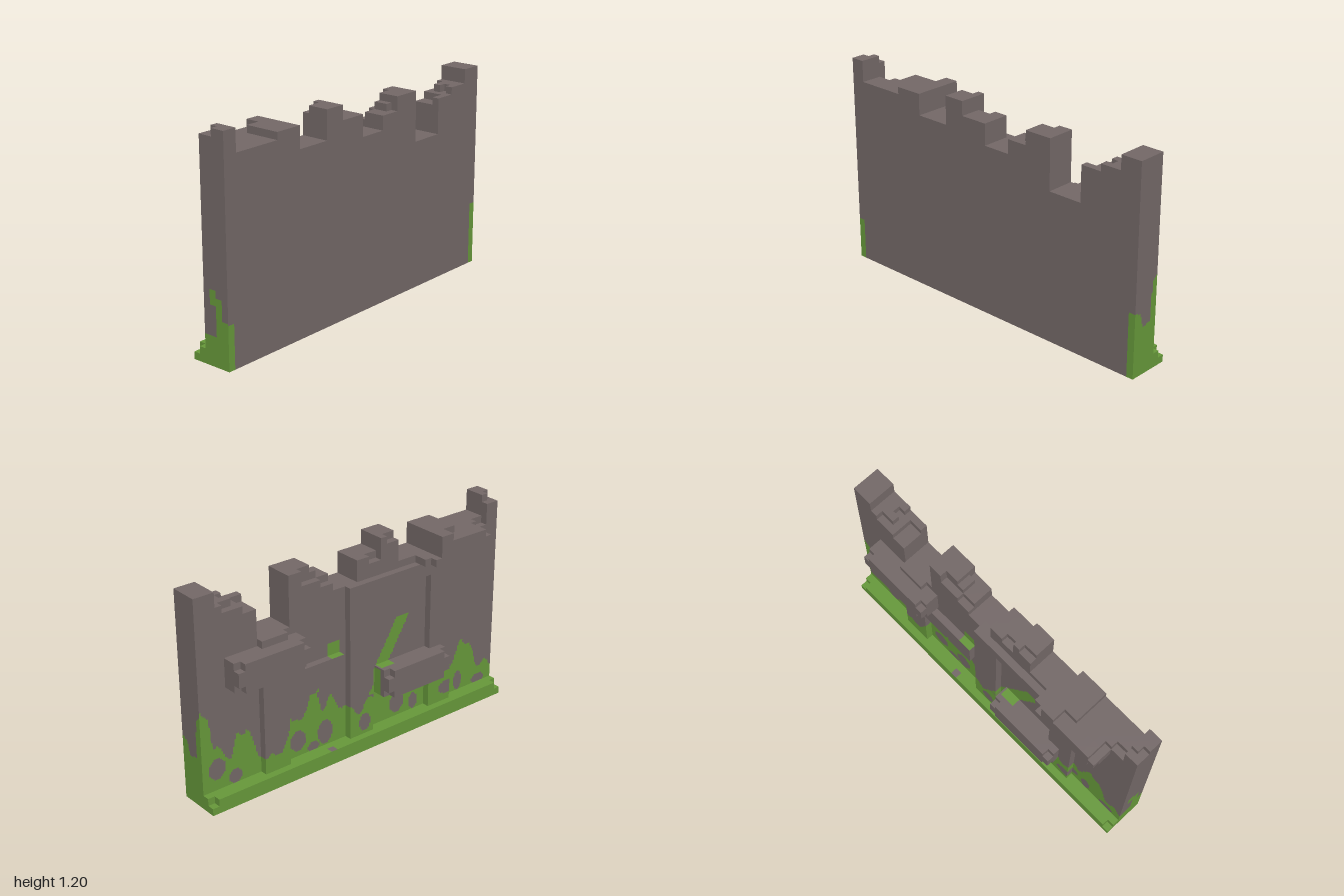
import * as THREE from 'three';

const S = 0.04, NX = 7, NY = 30, NZ = 50, ORIGIN = [-0.14, 0, -1];

// Each part is a list of boxes [x0, x1, y0, y1, z0, z1] on a 0.04 block grid
const wallProfile = [ // z start, z end, height
  [-1, -0.88, 1.16], [-0.88, -0.76, 1.08], [-0.76, -0.64, 1.04], [-0.64, -0.44, 0.84],
  [-0.44, -0.28, 1.12], [-0.28, -0.16, 1.04], [-0.16, 0, 0.96], [0, 0.16, 1.08],
  [0.16, 0.28, 1.16], [0.28, 0.48, 1.0], [0.48, 0.64, 1.12], [0.64, 0.92, 1.08], [0.92, 1, 1.2],
];
const parts = {
  ruinedWall: [
    ...wallProfile.map(([z0, z1, h]) => [-0.02, 0.14, 0, h, z0, z1]),
    [0.02, 0.10, 1.04, 1.08, -0.28, -0.24],
  ],
  baseLedge: [[-0.10, -0.02, 0, 0.08, -1, 1]],
  posts: [
    [-0.06, -0.02, 0.08, 0.84, -0.64, -0.48],
    [-0.06, -0.02, 0.08, 0.96, -0.08, 0.08],
    [-0.06, -0.02, 0.08, 0.96, 0.48, 0.64],
  ],
  beams: [
    [-0.06, -0.02, 0.44, 0.60, -0.48, -0.12],
    [-0.06, -0.02, 0.88, 0.96, 0.08, 0.48],
  ],
  stoneBlocks: [
    [-0.14, -0.02, 0.64, 0.80, -0.84, -0.40],
    [-0.14, -0.02, 0.28, 0.44, 0.12, 0.56],
    [-0.14, -0.02, 0.96, 1.08, 0.48, 0.80],
    [-0.14, -0.02, 0.96, 1.04, 0.80, 0.84],
    [-0.14, -0.02, 1.08, 1.12, 0.48, 0.56],
    [-0.06, -0.02, 1.08, 1.12, 0.56, 0.64],
    [-0.10, -0.02, 0.96, 1.0, 0.40, 0.48],
    [-0.14, -0.10, 0.96, 1.0, 0.44, 0.48],
  ],
};
// Blocks knocked out of corners and the broken top
const chips = [
  [-0.10, -0.06, 0.04, 0.08, -1, -0.96], [-0.10, -0.06, 0.04, 0.08, 0.96, 1],
  [-0.14, -0.10, 0.64, 0.68, -0.84, -0.80], [-0.14, -0.10, 0.76, 0.80, -0.84, -0.80],
  [-0.14, -0.10, 0.64, 0.68, -0.44, -0.40], [-0.14, -0.10, 0.76, 0.80, -0.44, -0.40],
  [-0.14, -0.10, 0.28, 0.32, 0.12, 0.16], [-0.14, -0.10, 0.40, 0.44, 0.12, 0.16],
  [-0.14, -0.10, 0.28, 0.32, 0.52, 0.56], [-0.14, -0.10, 0.40, 0.44, 0.52, 0.56],
  [-0.14, -0.10, 0.96, 1.0, 0.80, 0.84],
  [0.06, 0.10, 1.04, 1.08, -0.80, -0.76],
  [-0.02, 0.10, 1.0, 1.04, -0.72, -0.64],
  [-0.02, 0.02, 1.04, 1.08, -0.84, -0.76],
  [-0.02, 0.02, 1.04, 1.12, -0.36, -0.28],
  [-0.02, 0.02, 1.0, 1.04, -0.24, -0.16],
  [-0.02, 0.02, 1.04, 1.08, 0.08, 0.16], [-0.02, 0.02, 1.12, 1.16, 0.20, 0.28],
  [-0.02, 0.02, 1.04, 1.08, 0.84, 0.92],
  [-0.02, 0.02, 1.16, 1.2, 0.92, 1], [0.02, 0.06, 1.16, 1.2, 0.96, 1],
];

// Moss outline along the weathered side: [z, height]
const mossLine = [
  [-1, 0.53], [-0.95, 0.52], [-0.93, 0.32], [-0.86, 0.28], [-0.82, 0.22], [-0.78, 0.36],
  [-0.72, 0.36], [-0.66, 0.2], [-0.58, 0.16], [-0.5, 0.22], [-0.45, 0.34], [-0.38, 0.26],
  [-0.3, 0.46], [-0.24, 0.3], [-0.18, 0.36], [-0.1, 0.26], [0, 0.22], [0.06, 0.3], [0.2, 0.34],
  [0.34, 0.28], [0.46, 0.34], [0.6, 0.28], [0.68, 0.26], [0.76, 0.38], [0.82, 0.36], [0.88, 0.2], [1, 0.18],
];
const endLine = [[-0.02, 0.53], [0.01, 0.5], [0.025, 0.28], [0.08, 0.27], [0.1, 0.35], [0.14, 0.36]];
// Bare patches in the moss: z, y, half width, half height
const barePatches = [
  [-0.91, 0.2, 0.05, 0.06], [-0.8, 0.12, 0.04, 0.04], [-0.4, 0.17, 0.05, 0.06], [-0.22, 0.16, 0.05, 0.07],
  [-0.3, 0.1, 0.04, 0.03], [0.02, 0.15, 0.04, 0.05], [0.28, 0.16, 0.05, 0.06], [0.4, 0.13, 0.03, 0.05],
  [0.62, 0.16, 0.06, 0.04], [0.74, 0.14, 0.03, 0.06], [0.9, 0.1, 0.05, 0.03],
];

function lineAt(line, t) {
  const i = Math.max(1, line.findIndex((p) => p[0] >= t));
  const [a, b] = [line[i - 1], line[i]];
  return a[1] + (b[1] - a[1]) * (t - a[0]) / (b[0] - a[0]);
}

function isMossy([x, y, z], axis, sign) {
  if (axis === 0 && sign > 0) return (z > 0.96 && y < 0.24) || (z < -0.96 && y < 0.36);
  if (x < -0.02 && y < 0.081) return !(axis === 1 && x > -0.1 && x < -0.06 && z > -0.24 && z < -0.2);
  if (x < -0.065) return false;
  if (axis === 2 && z > 0.99) {
    if (y < 0.16) return true;
    if (x > 0.1) return y < 0.25;
    if (x > 0.06) return y < 0.36;
    return x > 0.02 && y > 0.32 && y < 0.4;
  }
  if (axis === 2 && z < -0.99) return y < lineAt(endLine, x);
  if (y > 0.3 && y < 0.68 && Math.abs(z - 0.12 - (y - 0.35) * 0.6) < 0.045) return true;
  if (y > 0.6 && y < 0.67 && z > -0.2 && z < -0.12) return true;
  if (barePatches.some(([pz, py, w, h]) => ((z - pz) / w) ** 2 + ((y - py) / h) ** 2 < 1)) return false;
  return y < lineAt(mossLine, z) + 0.02 * Math.sin(z * 61);
}

export function createModel() {
  const stone = new THREE.MeshStandardMaterial({ color: 0x736867, side: THREE.DoubleSide });
  stone.name = 'stone';
  const moss = new THREE.MeshStandardMaterial({ color: 0x66983a, side: THREE.DoubleSide });
  moss.name = 'moss';

  // Fill the block grid with part numbers, then knock out the chips
  const grid = new Uint8Array(NX * NY * NZ);
  const cell = (i, j, k) => (i * NY + j) * NZ + k;
  const fill = (b, value) => {
    const r = b.map((v, n) => Math.round((v - ORIGIN[n >> 1]) / S));
    for (let i = r[0]; i < r[1]; i++)
      for (let j = r[2]; j < r[3]; j++)
        for (let k = r[4]; k < r[5]; k++) grid[cell(i, j, k)] = value;
  };
  const names = Object.keys(parts);
  names.forEach((name, n) => parts[name].forEach((b) => fill(b, n + 1)));
  chips.forEach((b) => fill(b, 0));
  const at = (c) => (c.some((v, n) => v < 0 || v >= [NX, NY, NZ][n]) ? 0 : grid[cell(...c)]);

  const faces = names.map(() => [[], []]); // stone and moss triangles of each part

  // One square on a block face, wound outwards
  function square(out, p, u, v, size, sign) {
    const corner = (a, b) => { const q = [...p]; q[u] += a * size; q[v] += b * size; return q; };
    const c = [corner(0, 0), corner(1, 0), corner(1, 1), corner(0, 1)];
    for (const n of sign > 0 ? [0, 1, 2, 0, 2, 3] : [0, 2, 1, 0, 3, 2]) out.push(...c[n]);
  }

  function blockFace(part, c, axis, sign) {
    const u = (axis + 1) % 3, v = (axis + 2) % 3;
    const p = c.map((n, a) => ORIGIN[a] + n * S);
    if (sign > 0) p[axis] += S;
    const n = 4, size = S / n, small = [];
    for (let a = 0; a < n; a++)
      for (let b = 0; b < n; b++) {
        const q = [...p], mid = [...p];
        q[u] += a * size; q[v] += b * size;
        mid[u] = q[u] + size / 2; mid[v] = q[v] + size / 2;
        small.push([q, isMossy(mid, axis, sign) ? 1 : 0]);
      }
    if (small.every((s) => s[1] === small[0][1])) square(faces[part][small[0][1]], p, u, v, S, sign);
    else small.forEach(([q, m]) => square(faces[part][m], q, u, v, size, sign));
  }

  // Only exposed faces are kept; the underside is open
  for (let i = 0; i < NX; i++)
    for (let j = 0; j < NY; j++)
      for (let k = 0; k < NZ; k++) {
        const c = [i, j, k], part = at(c);
        if (!part) continue;
        for (let axis = 0; axis < 3; axis++)
          for (const sign of [-1, 1]) {
            const next = [...c];
            next[axis] += sign;
            if (!at(next) && next[1] >= 0) blockFace(part - 1, c, axis, sign);
          }
      }

  const group = new THREE.Group();
  group.name = 'mossyRuinedWall';
  names.forEach((name, n) => {
    const [a, b] = faces[n];
    const geometry = new THREE.BufferGeometry();
    geometry.setAttribute('position', new THREE.Float32BufferAttribute(a.concat(b), 3));
    geometry.addGroup(0, a.length / 3, 0);
    geometry.addGroup(a.length / 3, b.length / 3, 1);
    geometry.computeVertexNormals();
    const mesh = new THREE.Mesh(geometry, [stone, moss]);
    mesh.name = name;
    group.add(mesh);
  });
  return group;
}
